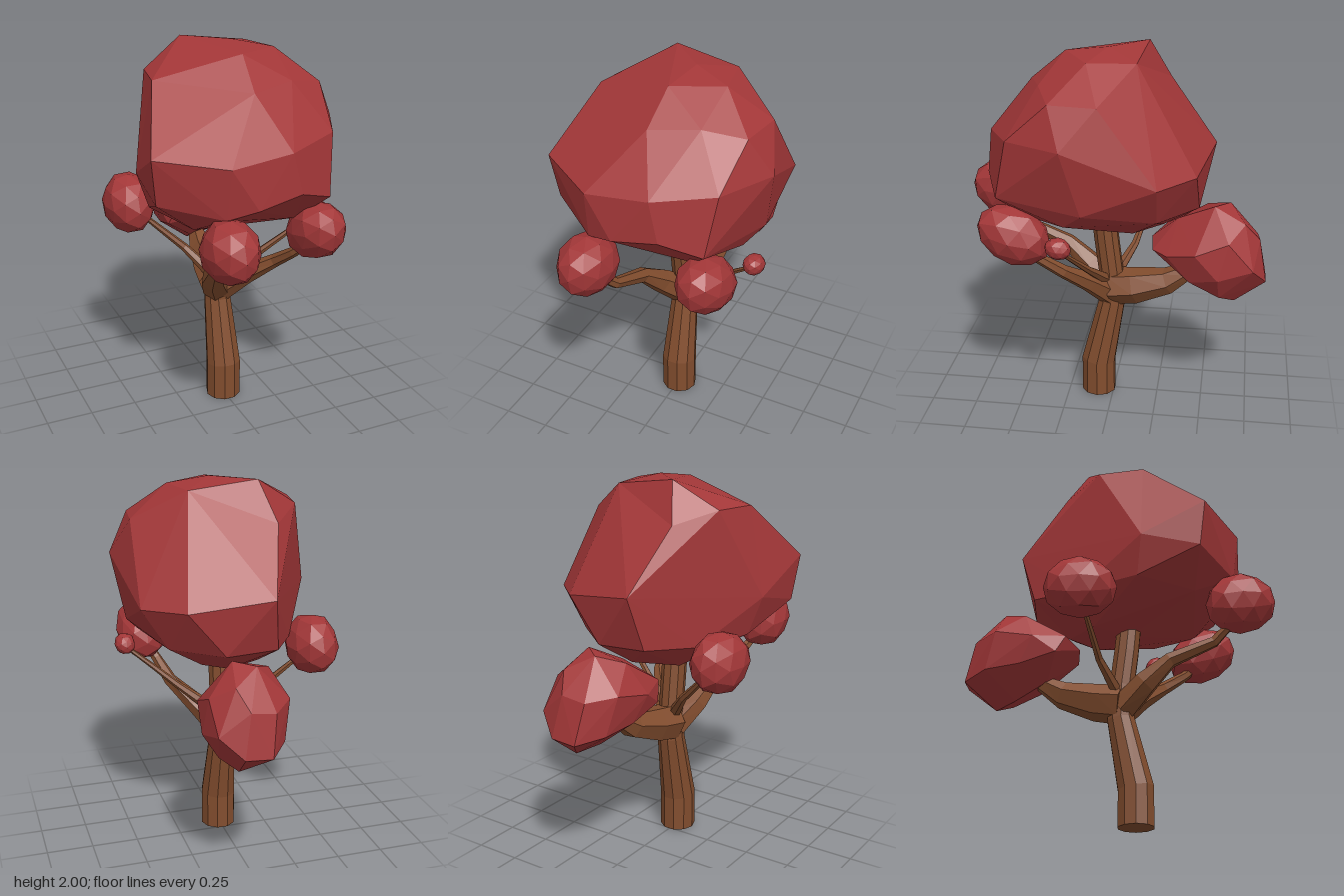
import * as THREE from 'three';
import { ConvexGeometry } from 'three/addons/geometries/ConvexGeometry.js';

const V = (p) => new THREE.Vector3(p[0], p[1], p[2]);

// Flat-faced tapered limb lofted through rows of [x, y, z, radius]
function limbGeometry(rows, sides) {
  const pos = [], index = [], up = new THREE.Vector3(0, 1, 0), last = rows.length - 1;
  rows.forEach((row, i) => {
    const dir = V(rows[Math.min(i + 1, last)]).sub(V(rows[Math.max(i - 1, 0)])).normalize();
    const q = new THREE.Quaternion().setFromUnitVectors(up, dir);
    for (let k = 0; k < sides; k++) {
      const a = (k / sides) * Math.PI * 2;
      const v = new THREE.Vector3(Math.cos(a) * row[3], 0, Math.sin(a) * row[3]);
      pos.push(...v.applyQuaternion(q).add(V(row)).toArray());
    }
  });
  for (let i = 0; i < last; i++) {
    for (let k = 0; k < sides; k++) {
      const a = i * sides + k, b = i * sides + ((k + 1) % sides);
      index.push(a, a + sides, b, b, a + sides, b + sides);
    }
  }
  // end caps
  const top = last * sides;
  for (let k = 1; k < sides - 1; k++) {
    index.push(0, k, k + 1, top, top + k + 1, top + k);
  }
  const g = new THREE.BufferGeometry();
  g.setAttribute('position', new THREE.Float32BufferAttribute(pos, 3));
  g.setIndex(index);
  const flat = g.toNonIndexed();
  flat.computeVertexNormals();
  return flat;
}

// Faceted leaf clump; shear tilts it along z
function clumpGeometry(radii, shear) {
  const g = new THREE.IcosahedronGeometry(1, 1);
  const p = g.attributes.position;
  for (let i = 0; i < p.count; i++) {
    const x = p.getX(i), y = p.getY(i), z = p.getZ(i);
    const t = 1.01 + 0.04 * Math.sin(5 * x + 3 * y + 1) * Math.cos(4 * z - 2 * x);
    p.setXYZ(i, x * radii[0] * t, (y * t + shear * z) * radii[1], z * radii[2] * t);
  }
  g.computeVertexNormals();
  return g;
}

// Faceted hull that keeps shallow dents: wrapped in a rounder space, then mapped back
function dentedHull(points, centre, radii) {
  const round = points.map((p) => {
    const v = V(p).sub(centre).divide(radii);
    return v.multiplyScalar(1 / Math.sqrt(v.length()));
  });
  const g = new ConvexGeometry(round);
  const p = g.attributes.position, v = new THREE.Vector3();
  for (let i = 0; i < p.count; i++) {
    v.fromBufferAttribute(p, i);
    v.multiplyScalar(v.length()).multiply(radii).add(centre);
    p.setXYZ(i, v.x, v.y, v.z);
  }
  g.computeVertexNormals();
  return g;
}

export function createModel() {
  const group = new THREE.Group();
  const bark = new THREE.MeshStandardMaterial({ color: 0x824d2e });
  bark.name = 'bark brown';
  const leaves = new THREE.MeshStandardMaterial({ color: 0xa33738 });
  leaves.name = 'leaf red';
  const add = (name, geometry, material) => {
    const mesh = new THREE.Mesh(geometry, material);
    mesh.name = name;
    group.add(mesh);
    return mesh;
  };

  // Trunk, leaning back then upright
  add('trunk', limbGeometry([
    [0.003, 0, 0.085, 0.096], [0.003, 0.2, 0.085, 0.096], [0, 0.57, 0.01, 0.074],
    [0, 0.75, 0.015, 0.068], [0, 0.95, 0.04, 0.068], [0, 1.15, 0.06, 0.066],
  ], 10), bark);

  // Branches, each reaching into a leaf clump
  const branches = {
    backBranch: [[0, 0.655, 0.01, 0.105], [0.02, 0.675, -0.12, 0.1], [0.04, 0.725, -0.3, 0.073], [0.05, 0.79, -0.4, 0.048], [0.05, 0.88, -0.5, 0.035]],
    frontRightBranch: [[-0.01, 0.63, 0.02, 0.08], [-0.08, 0.745, 0.14, 0.068], [-0.12, 0.855, 0.27, 0.042], [-0.15, 0.945, 0.5, 0.03], [-0.2, 1.06, 0.62, 0.02]],
    frontLeftBranch: [[0.01, 0.62, 0.02, 0.075], [0.12, 0.73, 0.12, 0.055], [0.235, 0.84, 0.24, 0.036], [0.28, 0.93, 0.36, 0.028], [0.33, 1.02, 0.45, 0.02]],
    rightBranch: [[-0.02, 0.7, 0, 0.035], [-0.15, 0.85, -0.1, 0.022], [-0.32, 1.01, -0.16, 0.015], [-0.4, 1.08, -0.18, 0.012]],
    leftBranch: [[0.02, 0.7, 0.03, 0.035], [0.22, 0.85, 0.11, 0.02], [0.34, 0.95, 0.16, 0.015], [0.5, 1.08, 0.22, 0.01]],
  };
  for (const [name, rows] of Object.entries(branches)) add(name, limbGeometry(rows, 6), bark);

  // Main crown corners, listed from top to bottom
  const crown = [
    [-0.13, 2, -0.17], [0.07, 2, 0.02], [0.27, 1.96, 0.1], [0.03, 1.97, 0.24], [0.22, 1.955, -0.14],
    [-0.4, 1.86, 0.135], [-0.355, 1.86, -0.1], [0.01, 1.82, 0.42], [0.25, 1.84, 0.34],
    [0.45, 1.8, 0.26], [0.48, 1.8, 0.02], [-0.2, 1.795, -0.28],
    [-0.53, 1.57, 0.45], [-0.21, 1.54, 0.645], [0.12, 1.57, 0.62], [0.41, 1.6, 0.48], [0.56, 1.6, 0.19],
    [-0.11, 1.475, -0.53], [0.31, 1.42, -0.45], [0.5, 1.41, -0.27], [-0.49, 1.4, 0.12],
    [-0.07, 1.32, 0.655], [0.17, 1.36, 0.63], [0.37, 1.29, 0.55], [-0.5, 1.33, 0.42], [-0.22, 1.28, 0.61],
    [0.5, 1.26, 0.1], [0.42, 1.17, 0.2], [0.25, 1.15, 0.42], [-0.3, 1.17, 0.4], [-0.42, 1.2, 0.1],
    [-0.3, 1.18, -0.2], [0.36, 1.19, -0.26], [0.12, 1.19, -0.46], [-0.15, 1.2, -0.45],
    [0.05, 1.06, -0.27], [0.15, 1.04, -0.12], [-0.15, 1.04, -0.13], [0, 1.05, 0.06],
  ];
  add('crown', dentedHull(crown, new THREE.Vector3(0, 1.5, 0.06), new THREE.Vector3(0.55, 0.48, 0.6)), leaves);

  // Large back clump corners, from its inner tip to its blunt outer end
  const back = [
    [0, 0.97, -0.21], [0.1, 0.93, -0.22], [-0.12, 1, -0.28], [-0.15, 0.9, -0.33], [0.18, 0.93, -0.3],
    [0.05, 1.1, -0.35], [0, 0.79, -0.38], [0.2, 0.8, -0.42], [-0.175, 0.98, -0.45], [0.27, 0.98, -0.45],
    [-0.08, 1.14, -0.5], [0.12, 1.2, -0.54], [0.02, 1.19, -0.62], [-0.13, 0.84, -0.52], [0.05, 0.7, -0.55],
    [0.2, 0.72, -0.58], [0.12, 0.67, -0.66], [0.28, 0.85, -0.57], [0.26, 1.05, -0.62], [-0.14, 1.02, -0.65],
    [-0.1, 0.82, -0.7], [0.25, 0.9, -0.75], [0, 0.79, -0.82], [0.14, 0.8, -0.82], [0.1, 1.02, -0.78],
    [-0.03, 1, -0.77], [0.15, 1.12, -0.7],
  ];
  add('backClump', new ConvexGeometry(back.map(V)), leaves);

  // Smaller clumps: name, centre, radii, shear
  const clumps = [
    ['rightClump', [-0.43, 1.125, -0.19], [0.135, 0.16, 0.19], 0],
    ['frontRightClump', [-0.215, 1.135, 0.64], [0.14, 0.16, 0.185], 0.05],
    ['frontLeftClump', [0.345, 1.085, 0.47], [0.14, 0.155, 0.19], 0.25],
    ['leftClump', [0.49, 1.085, 0.215], [0.055, 0.055, 0.067], 0.1],
  ];
  for (const [name, centre, radii, shear] of clumps) {
    add(name, clumpGeometry(radii, shear), leaves).position.copy(V(centre));
  }
  return group;
}
